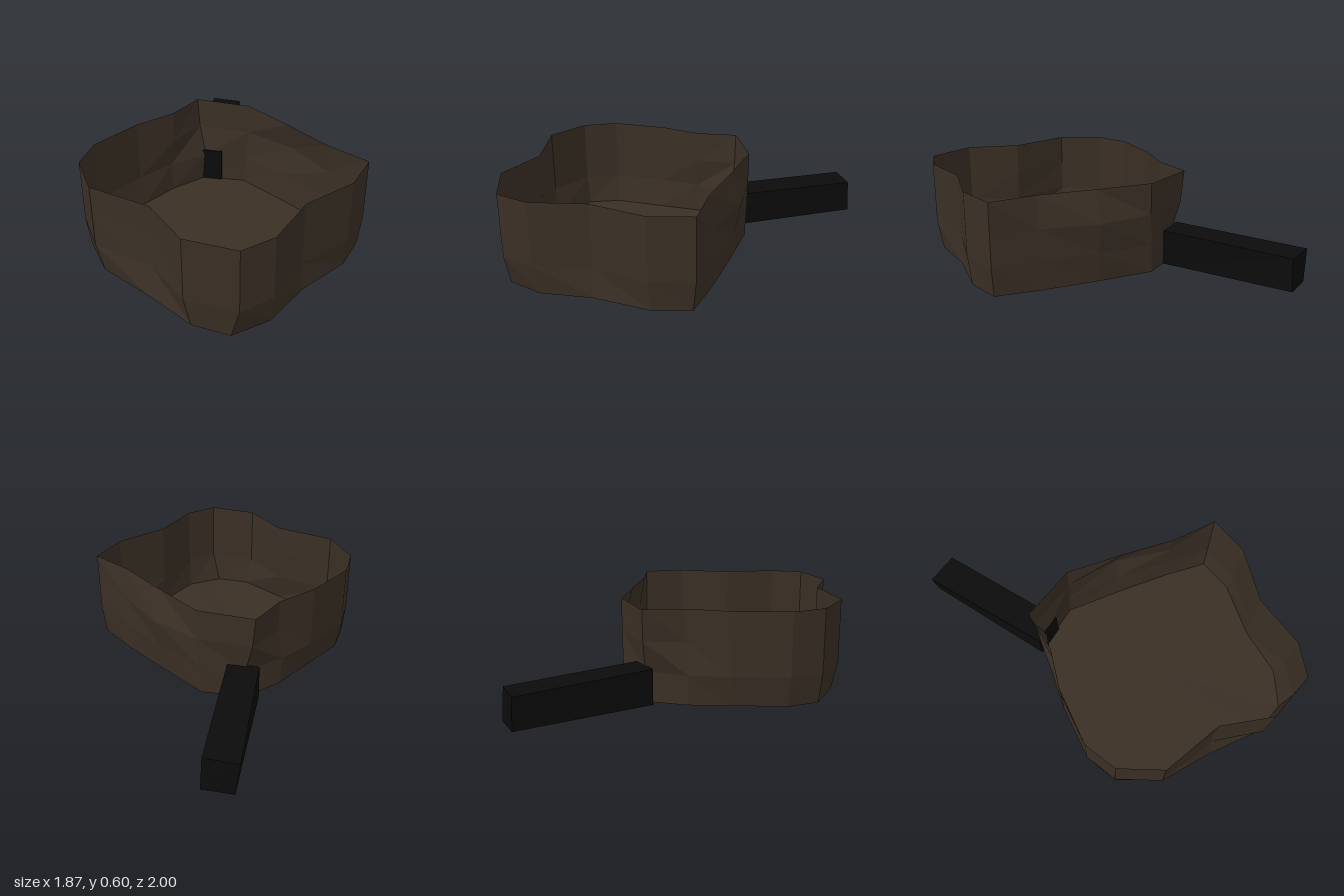
import * as THREE from 'three';

// Ring outlines as [x, z], sixteen corners each, starting at +x and turning towards +z
const RIM = [
  [0.86, 0.32], [0.93, 0.66], [0.87, 0.87], [0.58, 0.995],
  [0.25, 0.90], [-0.14, 0.995], [-0.40, 0.86], [-0.50, 0.66],
  [-0.50, 0.31], [-0.44, 0.04], [-0.47, -0.22], [-0.14, -0.375],
  [0.22, -0.335], [0.57, -0.285], [0.865, -0.29], [0.93, -0.03],
];
const BASE = [
  [0.87, 0.32], [0.90, 0.64], [0.81, 0.87], [0.60, 0.96],
  [0.25, 0.95], [-0.12, 0.96], [-0.39, 0.84], [-0.47, 0.65],
  [-0.465, 0.31], [-0.46, 0.05], [-0.40, -0.21], [-0.16, -0.36],
  [0.21, -0.34], [0.57, -0.31], [0.85, -0.27], [0.91, -0.04],
];

// Copies an outline with a few corners pushed in or out
function dent(ring, changes) {
  return ring.map((p, i) => changes[i] || p);
}

// Flat-shaded geometry from a list of triangles
function facets(triangles) {
  const geometry = new THREE.BufferGeometry().setFromPoints(triangles.flat());
  geometry.computeVertexNormals();
  return geometry;
}

const at = (ring, y) => ring.map(([x, z]) => new THREE.Vector3(x, y, z));

// Triangles joining two closed rings, upper then lower
function band(upper, lower) {
  const out = [];
  upper.forEach((a, i) => {
    const j = (i + 1) % upper.length;
    out.push([a, upper[j], lower[i]], [upper[j], lower[j], lower[i]]);
  });
  return out;
}

// Triangles closing a ring at its centre, facing up
function fan(ring, centre) {
  return ring.map((p, i) => [centre, ring[(i + 1) % ring.length], p]);
}

export function createModel() {
  const group = new THREE.Group();
  const brown = new THREE.MeshStandardMaterial({ color: 0x3a2f25, flatShading: true, side: THREE.DoubleSide });
  brown.name = 'dark brown';
  const black = new THREE.MeshStandardMaterial({ color: 0x0b0b0b, flatShading: true });
  black.name = 'black';

  // Thin battered wall: straight above, drawn in at the foot, dented at the handle
  const belly = dent(RIM, { 10: [-0.45, -0.22], 12: [0.21, -0.40], 13: [0.57, -0.315] });
  const lower = dent(RIM, {
    4: [0.25, 0.91], 9: [-0.47, 0.05], 10: [-0.39, -0.21],
    11: [-0.15, -0.37], 12: [0.21, -0.365], 13: [0.57, -0.32],
  });
  const rings = [at(RIM, 0.6), at(belly, 0.4), at(lower, 0.2), at(BASE, 0.01)];
  rings[3][2].y = 0; // lowest corner of the foot
  const wallFaces = rings.slice(1).flatMap((ring, i) => band(rings[i], ring));
  const wall = new THREE.Mesh(facets(wallFaces), brown);
  wall.name = 'potWall';
  group.add(wall);

  // Floor sheet
  const floor = new THREE.Mesh(facets(fan(rings[3], new THREE.Vector3(0.21, 0.008, 0.31))), brown);
  floor.name = 'potFloor';
  group.add(floor);

  // Slightly tapered straight handle, corners of a box moved into place
  const box = new THREE.BoxGeometry(1, 1, 1);
  const pos = box.attributes.position;
  for (let i = 0; i < pos.count; i++) {
    const right = pos.getX(i) > 0, top = pos.getY(i) > 0, near = pos.getZ(i) > 0;
    if (near) {
      pos.setXYZ(i, right ? -0.29 : -0.46, top ? 0.235 : 0.01, right ? -0.265 : -0.16);
    } else {
      const x = right ? -0.755 : (top ? -0.94 : -0.92);
      const z = right ? (top ? -0.985 : -1.0) : (top ? -0.89 : -0.905);
      pos.setXYZ(i, x, top ? 0.218 : 0.01, z);
    }
  }
  box.computeVertexNormals();
  const handle = new THREE.Mesh(box, black);
  handle.name = 'handle';
  group.add(handle);

  return group;
}
